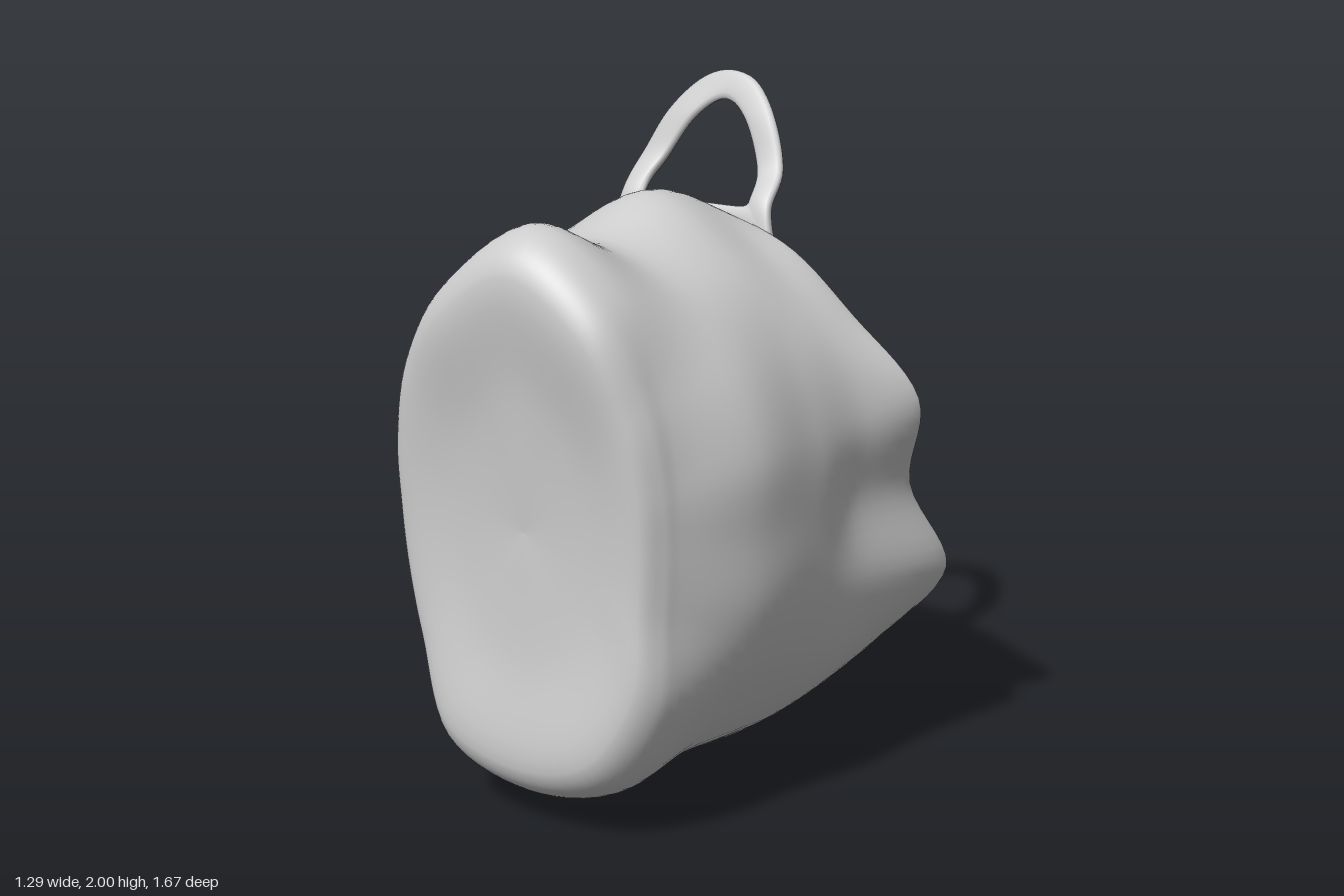
import * as THREE from 'three';

const CX = -0.03, CY = 0.85, AROUND = 112, ALONG = 110, WALL = 0.016;
const material = new THREE.MeshStandardMaterial({ color: 0xcccccc, side: THREE.DoubleSide, roughness: 0.8 });

// Radii every 22.5 degrees, counter-clockwise from +x, for sections from base to mouth
const BASE = [0.42, 0.45, 0.53, 0.67, 0.77, 0.67, 0.58, 0.51, 0.47, 0.48, 0.54, 0.69, 0.72, 0.70, 0.58, 0.45];
const LOW = [0.56, 0.61, 0.66, 0.71, 0.75, 0.73, 0.77, 0.65, 0.54, 0.54, 0.64, 0.73, 0.77, 0.74, 0.65, 0.59];
const MID = [0.59, 0.62, 0.67, 0.75, 0.85, 0.76, 0.69, 0.61, 0.54, 0.56, 0.66, 0.75, 0.81, 0.76, 0.68, 0.62];
const HIGH = [0.57, 0.64, 0.69, 0.75, 0.83, 0.76, 0.66, 0.56, 0.53, 0.57, 0.68, 0.76, 0.85, 0.77, 0.72, 0.65];
const RIM = [0.61, 0.74, 0.72, 0.76, 0.77, 0.77, 0.66, 0.49, 0.47, 0.57, 0.68, 0.71, 0.72, 0.70, 0.69, 0.72];
const RIM_Z = [-0.24, -0.15, -0.08, -0.045, -0.04, -0.05, -0.17, -0.29,
  -0.31, -0.34, -0.36, -0.33, -0.42, -0.34, -0.34, -0.37];

// The base is slightly hollow across its middle
const baseZ = (y) => Math.min(0.83, 0.77 + 0.17 * (y - CY) ** 2);

// Indexed grid of points, closed across each row; optionally closed from last row to first
function gridGeometry(rows, loop) {
  const n = rows[0].length, index = [];
  for (let i = 0; i < rows.length - (loop ? 0 : 1); i++) {
    const next = (i + 1) % rows.length;
    for (let j = 0; j < n; j++) {
      const k = (j + 1) % n;
      const a = i * n + j, b = i * n + k, c = next * n + j, d = next * n + k;
      index.push(a, c, b, b, c, d);
    }
  }
  const geo = new THREE.BufferGeometry().setFromPoints(rows.flat());
  geo.setIndex(index);
  geo.computeVertexNormals();
  return geo;
}

// One smooth closed ring from radii; z is a function of (index, y)
function ring(radii, scale, inset, z) {
  const points = radii.map((r, i) => {
    const a = i * Math.PI / 8, d = Math.max(r * scale - inset, 0.0005);
    const y = CY + d * Math.sin(a);
    return new THREE.Vector3(CX + d * Math.cos(a), y, z(i, y));
  });
  const curve = new THREE.CatmullRomCurve3(points, true, 'catmullrom', 0.5);
  return Array.from({ length: AROUND }, (_, j) => curve.getPoint(j / AROUND));
}

// All rings of one skin, from the middle of the base to the rim
function skin(inset) {
  const face = (i, y) => baseZ(y) - inset;
  return [
    ring(BASE, 0, 0, face),
    ring(BASE, 0.5, inset, face),
    ring(BASE, 0.92, inset, face),
    ring(BASE, 1.03, inset, (i, y) => baseZ(y) - 0.05 - inset),
    ring(BASE, 1.08, inset, () => 0.68),
    ring(LOW, 1, inset, () => 0.45),
    ring(MID, 1, inset, () => 0.2),
    ring(HIGH, 1, inset, (i) => RIM_Z[i] > -0.1 ? 0.06 : 0),
    ring(RIM, 1, inset, (i) => RIM_Z[i]),
  ];
}

// Soft double-walled sack, lofted outside then back down the inside
function bodyGeometry() {
  const rings = [...skin(0), ...skin(WALL).reverse()];
  const columns = Array.from({ length: AROUND }, (_, j) =>
    new THREE.CatmullRomCurve3(rings.map((r) => r[j]), false, 'centripetal'));
  return gridGeometry(Array.from({ length: ALONG + 1 }, (_, i) =>
    columns.map((c) => c.getPoint(i / ALONG))), false);
}

const spline = (pts, n) => new THREE.SplineCurve(pts.map((p) => new THREE.Vector2(...p))).getPoints(n);
const mirror = (half) => [...half, ...half.slice(0, -1).reverse().map(([x, v]) => [-x, v])];
const loopOf = (over, under) => [...spline(over, 64), ...spline(under, 24).slice(1, -1)];

// Flat looped handle swept between an outer and an inner outline, bent along a
// (z, y) path; bowl curves its root to suit the rim
function handleGeometry(path, arch, bowl) {
  const outer = loopOf(
    mirror([[0.3, 0], [0.265, 0.11], [0.25, 0.25], [0.16, 0.41], [0, 0.5]]),
    [[-0.3, 0], [-0.17, arch * 0.8], [0, arch], [0.17, arch * 0.8], [0.3, 0]]);
  const inner = loopOf(
    mirror([[0.185, 0.135], [0.175, 0.22], [0.095, 0.36], [0, 0.415]]),
    [[-0.185, 0.135], [-0.16, 0.12], [0, 0.12], [0.16, 0.12], [0.185, 0.135]]);
  const curve = new THREE.SplineCurve(path.map((p) => new THREE.Vector2(...p)));
  const rows = outer.map((o, i) => Array.from({ length: 16 }, (_, k) => {
    const a = k * Math.PI / 8, s = Math.sin(a);
    const q = inner[i].clone().lerp(o, 0.5 + 0.5 * Math.cos(a));
    const w = 0.015 * Math.sign(s) * Math.sqrt(Math.abs(s));
    const t = THREE.MathUtils.clamp(q.y / 0.5, 0, 1);
    const at = curve.getPoint(t), tan = curve.getTangent(t);
    const lift = bowl * q.x * q.x * Math.max(0, 1 - t * 2);
    return new THREE.Vector3(q.x - 0.06, at.y - tan.x * w + lift, at.x + tan.y * w);
  }));
  return gridGeometry(rows, true);
}

export function createModel() {
  const group = new THREE.Group();
  const add = (name, geometry) => {
    const mesh = new THREE.Mesh(geometry, material);
    mesh.name = name;
    group.add(mesh);
  };
  add('bagBody', bodyGeometry());
  add('upperHandle', handleGeometry(
    [[-0.045, 1.52], [-0.07, 1.64], [-0.15, 1.74], [-0.2, 1.87], [-0.26, 1.995]], 0.08, 0));
  add('lowerHandle', handleGeometry(
    [[-0.32, 0.12], [-0.44, 0.165], [-0.57, 0.235], [-0.7, 0.215], [-0.83, 0.165]], 0.07, 1.5));
  return group;
}
